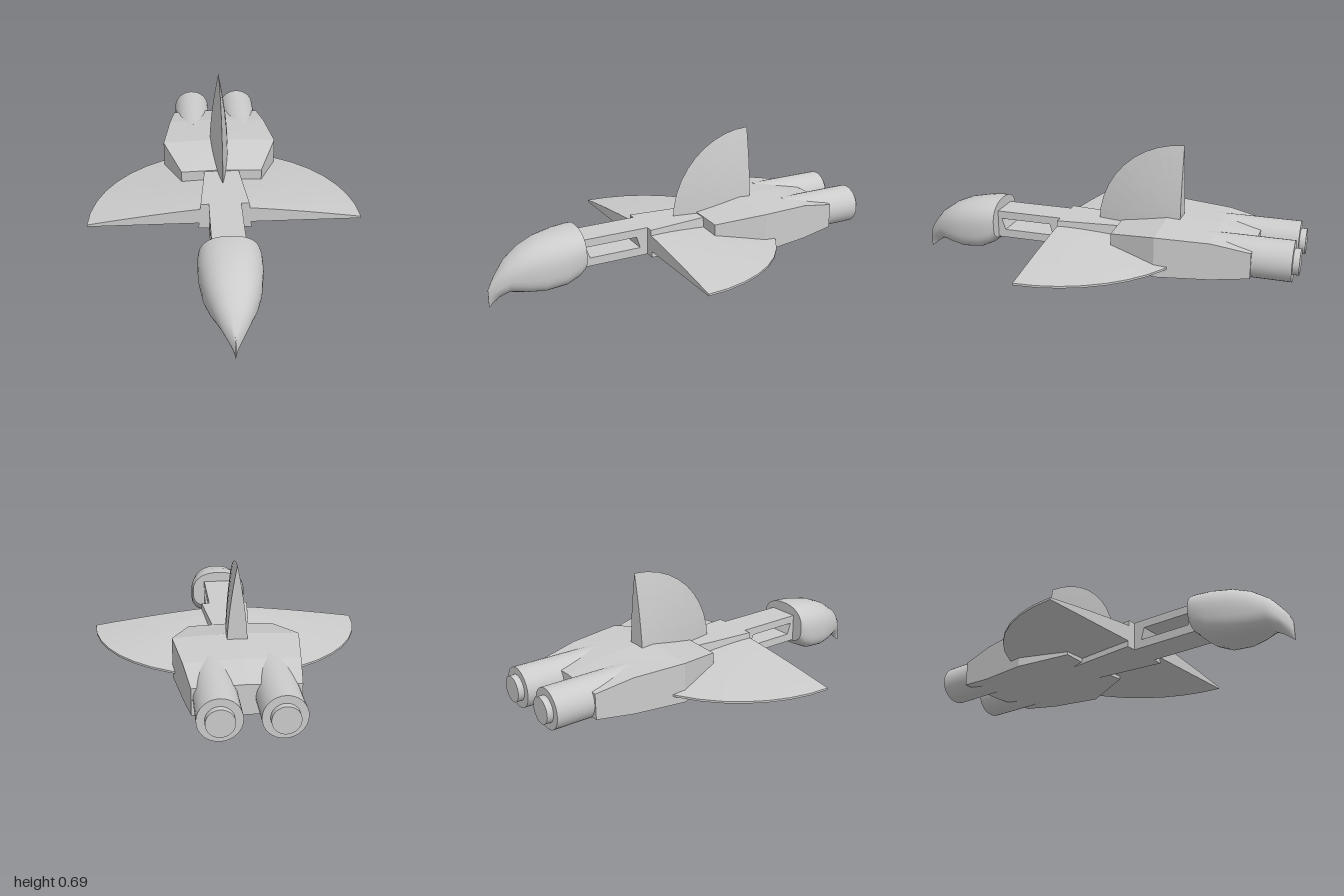
import * as THREE from 'three';
import { toCreasedNormals } from 'three/addons/utils/BufferGeometryUtils.js';

const smooth = new THREE.MeshStandardMaterial({ color: 0xcccccc });
const flat = new THREE.MeshStandardMaterial({ color: 0xcccccc, flatShading: true });

// Skin over closed sections, counter-clockwise as seen from the first one, with end caps
function loft(sections) {
  const pos = [];
  const tri = (...pts) => pts.forEach((p) => pos.push(...p));
  const n = sections[0].length;
  const centre = (s) => [0, 1, 2].map((k) => s.reduce((sum, p) => sum + p[k], 0) / n);
  const first = sections[0], last = sections[sections.length - 1];
  const c0 = centre(first), c1 = centre(last);
  for (let j = 0; j < n; j++) {
    const k = (j + 1) % n;
    for (let i = 0; i < sections.length - 1; i++) {
      const s = sections[i], t = sections[i + 1];
      tri(s[j], t[j], s[k]);
      tri(s[k], t[j], t[k]);
    }
    tri(c0, first[j], first[k]);
    tri(c1, last[k], last[j]);
  }
  const g = new THREE.BufferGeometry();
  g.setAttribute('position', new THREE.Float32BufferAttribute(pos, 3));
  g.computeVertexNormals();
  return g;
}

// Circular sector in the xz plane whose thickness falls away towards the rim
function domedSector(radius, angle, segments, top, bottom) {
  const steps = 8, sections = [];
  for (let i = 0; i <= segments; i++) {
    const a = (i / segments) * angle, c = Math.cos(a), s = Math.sin(a), section = [];
    const add = (u, y) => section.push([radius * u * c, y, -radius * u * s]);
    for (let j = 0; j <= steps; j++) add(j / steps, bottom(j / steps));
    for (let j = steps; j >= 0; j--) add(j / steps, top(j / steps));
    sections.push(section);
  }
  return loft(sections);
}

export function createModel() {
  const model = new THREE.Group();
  const add = (name, geometry, material) => {
    const mesh = new THREE.Mesh(geometry, material);
    mesh.name = name;
    model.add(mesh);
    return mesh;
  };

  // Beaked nose: z, half width, top, bottom, roundness exponent of the lower half
  const nose = [
    [1, 0.002, 0.09, 0, 1.2], [0.98, 0.021, 0.128, 0.016, 1.2],
    [0.95, 0.046, 0.168, 0.04, 1.4], [0.905, 0.076, 0.222, 0.066, 2],
    [0.83, 0.11, 0.275, 0.06, 2.8], [0.75, 0.134, 0.308, 0.055, 3.2],
    [0.65, 0.149, 0.328, 0.068, 3.2], [0.585, 0.149, 0.333, 0.1, 3.2],
    [0.555, 0.143, 0.333, 0.13, 3.2],
  ].map(([z, w, top, bottom, low]) => {
    const mid = bottom + (top - bottom) * 0.48, section = [];
    for (let i = 0; i < 40; i++) {
      const a = (i / 40) * Math.PI * 2, c = Math.cos(a), s = Math.sin(a);
      const p = 2 / (s < 0 ? low : 2.3);
      section.push([
        w * Math.sign(c) * Math.abs(c) ** p,
        mid + (s < 0 ? mid - bottom : top - mid) * Math.sign(s) * Math.abs(s) ** p,
        z,
      ]);
    }
    return section;
  });
  add('nose', toCreasedNormals(loft(nose), 0.6), smooth);

  // Neck with a slanted window right through it
  const outline = (pts) => pts.map(([z, y]) => new THREE.Vector2(z, y));
  const side = new THREE.Shape(outline([[0.18, 0.14], [0.62, 0.14], [0.62, 0.28], [0.18, 0.28]]));
  side.holes.push(new THREE.Path(outline([[0.25, 0.24], [0.535, 0.24], [0.515, 0.182], [0.265, 0.182]]
    .map(([z, y], i) => [i === 0 ? 0.268 : i === 3 ? 0.25 : z, y]))));
  const neck = new THREE.ExtrudeGeometry(side, { depth: 0.16, bevelEnabled: false });
  neck.rotateY(-Math.PI / 2).translate(0.08, 0, 0);
  add('neck', neck, flat);

  // Tapered block between the neck and the rear hull
  add('midBody', loft([[0.21, 0.12], [-0.15, 0.085]].map(([z, w]) => [
    [w + 0.012, 0.14, z], [w, 0.28, z], [-w, 0.28, z], [-w - 0.012, 0.14, z],
  ])), flat);

  // Rear hull: z, half width, edge bottom and top, centre bottom and top
  add('rearHull', loft([
    [-0.1, 0.208, 0.155, 0.28, 0.145, 0.287],
    [-0.34, 0.3, 0.125, 0.323, 0.112, 0.337],
    [-0.6, 0.265, 0.132, 0.312, 0.122, 0.322],
    [-0.785, 0.24, 0.152, 0.278, 0.142, 0.286],
  ].map(([z, w, b, t, cb, ct]) => [
    [w, b, z], [w, t, z], [0, ct, z], [-w, t, z], [-w, b, z], [0, cb, z],
  ])), flat);

  // Both wings as one half disc, thickest in the middle and flat below
  const wings = add('wings', domedSector(0.68, Math.PI, 20,
    (u) => 0.01 + 0.08 * (1 - u ** 1.3), () => 0), flat);
  wings.position.set(0, 0.17, 0.21);

  // Upright tail fin: a quarter disc with a flat rear face
  const half = (u) => 0.05 * (1 - u ** 1.7);
  const fin = domedSector(0.43, Math.PI / 2, 10, half, (u) => -half(u));
  fin.applyMatrix4(new THREE.Matrix4().makeBasis(
    new THREE.Vector3(0, 1, 0), new THREE.Vector3(1, 0, 0), new THREE.Vector3(0, 0, -1)));
  add('tailFin', fin, flat).position.set(0, 0.263, -0.405);

  // Twin engines with stepped nozzles
  for (const [label, sign] of [['left', 1], ['right', -1]]) {
    for (const [part, r, front, back] of [['Engine', 0.098, -0.55, -0.97], ['Nozzle', 0.063, -0.9, -1]]) {
      const tube = new THREE.CylinderGeometry(r, r, front - back, 32).rotateX(Math.PI / 2);
      add(label + part, tube, smooth).position.set(sign * 0.135, 0.223, (front + back) / 2);
    }
  }
  return model;
}
